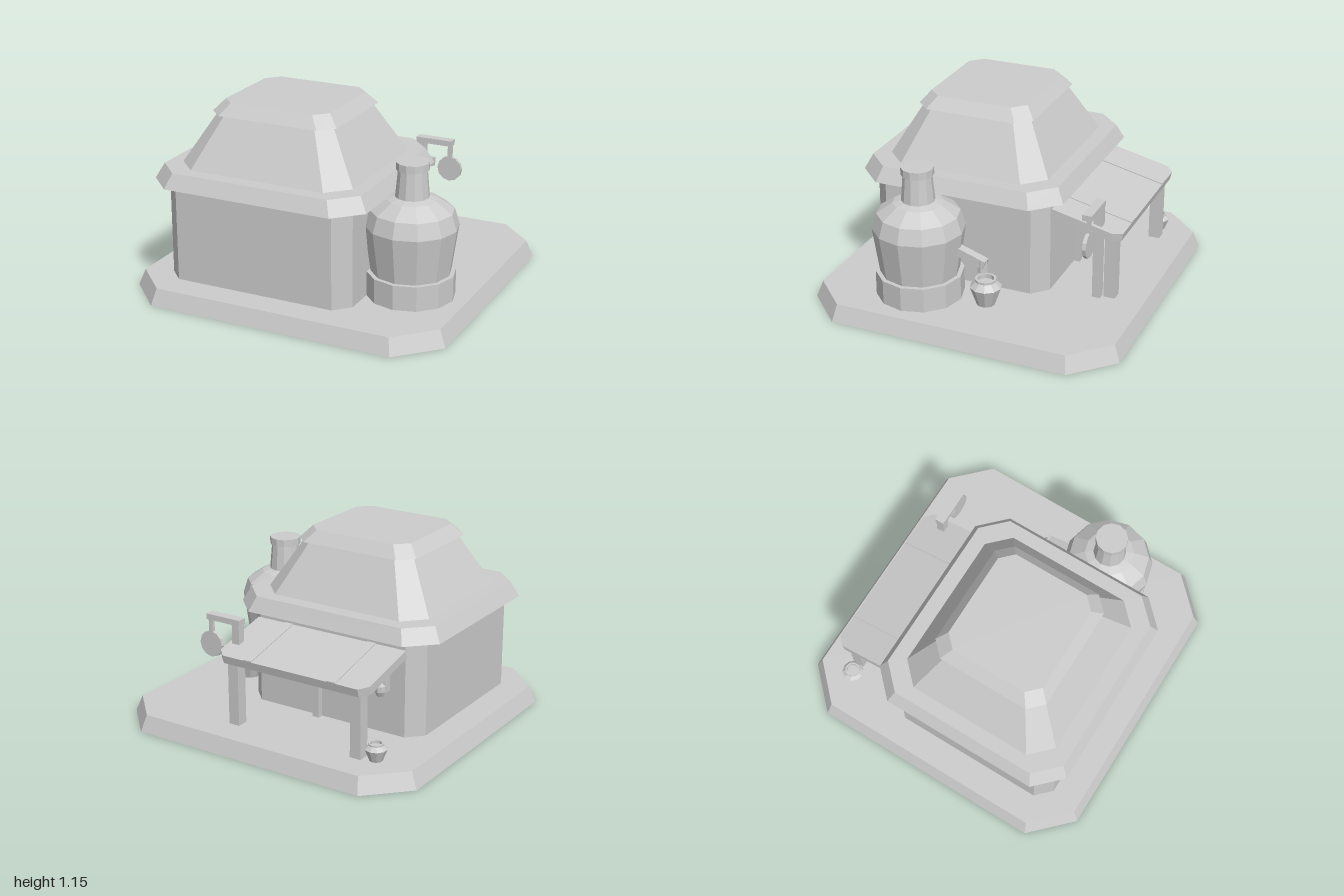
import * as THREE from 'three';

// Double-sided because the ground slab is open underneath
const stone = new THREE.MeshStandardMaterial({ color: 0xcccccc, side: THREE.DoubleSide });
stone.name = 'lightGrey';

// Mesh with faceted normals
function part(name, geometry, x = 0, y = 0, z = 0) {
  const geo = geometry.index ? geometry.toNonIndexed() : geometry;
  geo.computeVertexNormals();
  const mesh = new THREE.Mesh(geo, stone);
  mesh.name = name;
  mesh.position.set(x, y, z);
  return mesh;
}

// Box given by its extents
function box(name, x0, x1, y0, y1, z0, z1) {
  return part(name, new THREE.BoxGeometry(x1 - x0, y1 - y0, z1 - z0),
    (x0 + x1) / 2, (y0 + y1) / 2, (z0 + z1) / 2);
}

// Rectangle with cut corners, counterclockwise from above
function ring(y, hx, hz, cut) {
  const a = hz - cut, b = hx - cut;
  return [[hx, a], [hx, -a], [b, -hz], [-b, -hz], [-hx, -a], [-hx, a], [-b, hz], [b, hz]]
    .map(([x, z]) => [x, y, z]);
}

// Solid between a lower and an upper ring, with an optional floor
function frustum(name, low, high, x = 0, z = 0, floor = true) {
  const p = [];
  for (let i = 0; i < 8; i++) {
    const j = (i + 1) % 8;
    p.push(low[i], low[j], high[j], low[i], high[j], high[i]);
    if (i > 0 && i < 7) {
      p.push(high[0], high[i], high[j]);
      if (floor) p.push(low[0], low[j], low[i]);
    }
  }
  const geo = new THREE.BufferGeometry();
  geo.setAttribute('position', new THREE.Float32BufferAttribute(p.flat(), 3));
  return part(name, geo, x, 0, z);
}

function lathe(name, profile, sides, x, y, z) {
  const points = profile.map(([r, h]) => new THREE.Vector2(r, h));
  return part(name, new THREE.LatheGeometry(points, sides), x, y, z);
}

export function createModel() {
  const model = new THREE.Group();
  model.name = 'distillery';

  // Ground slab, hollow below
  model.add(frustum('groundSlab', ring(0, 1, 0.967, 0.235), ring(0.1, 0.96, 0.93, 0.215), 0, 0, false));

  // House and stepped roof
  const house = new THREE.Group();
  house.name = 'house';
  const cx = -0.194, cz = 0.194;
  house.add(
    frustum('walls', ring(0.1, 0.595, 0.56, 0.09), ring(0.69, 0.595, 0.56, 0.09), cx, 0.196),
    frustum('eaves', ring(0.69, 0.685, 0.644, 0.155), ring(0.78, 0.637, 0.6, 0.14), cx, cz),
    frustum('roof', ring(0.78, 0.554, 0.51, 0.125), ring(1.09, 0.37, 0.34, 0.08), cx, cz),
    frustum('roofCap', ring(1.085, 0.402, 0.368, 0.085), ring(1.155, 0.339, 0.311, 0.075), cx, cz));
  model.add(house);

  // Still with its spout
  const still = new THREE.Group();
  still.name = 'still';
  const sx = 0.619, sz = 0.337;
  still.add(
    lathe('stillBase', [[0, 0.1], [0.262, 0.1], [0.262, 0.25], [0, 0.25]], 12, sx, 0, sz),
    lathe('stillBody', [[0.235, 0.245], [0.275, 0.53], [0.245, 0.625], [0.15, 0.69], [0.09, 0.706]], 12, sx, 0, sz),
    lathe('stillNeck', [[0.1, 0.7], [0.085, 0.865]], 12, sx, 0, sz),
    lathe('stillCap', [[0, 0.865], [0.097, 0.865], [0.097, 0.91], [0, 0.91]], 12, sx, 0, sz));
  const spout = part('spout', new THREE.BoxGeometry(0.055, 0.05, 0.24), 0.611, 0.4, 0.03);
  spout.rotation.x = -0.32;
  still.add(spout, part('spoutTip', new THREE.CylinderGeometry(0.03, 0.03, 0.08, 8), 0.611, 0.35, -0.063));
  model.add(still);

  // Collecting pot and a small pot by the awning
  const pot = [[0, 0], [0.055, 0], [0.095, 0.115], [0.06, 0.15], [0.065, 0.153], [0.065, 0.167],
    [0.05, 0.167], [0.05, 0.14], [0, 0.14]];
  const smallPot = pot.map(([r, h]) => [r * 0.7, h * 0.62]);
  model.add(lathe('collectingPot', pot, 10, 0.605, 0.1, -0.08));
  model.add(lathe('smallPot', smallPot, 10, -0.72, 0.1, -0.705));

  // Sloping awning with two battens and two legs
  const awning = new THREE.Group();
  awning.name = 'awning';
  awning.position.set(cx, 0.588, -0.36);
  awning.rotation.x = -0.228;
  const outline = new THREE.Shape();
  outline.moveTo(-0.51, 0);
  outline.lineTo(0.51, 0);
  outline.lineTo(0.51, 0.387);
  outline.lineTo(0.46, 0.436);
  outline.lineTo(-0.46, 0.436);
  outline.lineTo(-0.51, 0.387);
  const sheet = new THREE.ExtrudeGeometry(outline, { depth: 0.052, bevelEnabled: false });
  awning.add(part('awningSheet', sheet.rotateX(-Math.PI / 2)));
  for (const s of [-1, 1]) {
    awning.add(box('batten', s * 0.286 - 0.0275, s * 0.286 + 0.0275, 0.045, 0.057, -0.435, 0));
    const lx = cx + s * 0.42;
    model.add(box('awningLeg', lx - 0.035, lx + 0.035, 0.1, 0.53, -0.755, -0.684));
  }
  model.add(awning);

  // Hanging sign
  const sign = new THREE.Group();
  sign.name = 'sign';
  const disc = part('signDisc', new THREE.CylinderGeometry(0.08, 0.08, 0.022, 12), 0.452, 0.53, -0.653);
  disc.rotation.x = Math.PI / 2;
  sign.add(
    box('signPost', 0.24, 0.29, 0.1, 0.7, -0.672, -0.622),
    box('signArm', 0.235, 0.472, 0.685, 0.72, -0.675, -0.617),
    box('signHanger', 0.439, 0.465, 0.6, 0.69, -0.664, -0.642), disc);
  model.add(sign);

  // Back doorway
  for (const x of [-0.375, -0.11]) model.add(box('doorJamb', x - 0.022, x + 0.022, 0.1, 0.5, -0.402, -0.36));
  model.add(box('doorLintel', -0.397, -0.088, 0.46, 0.5, -0.402, -0.36));

  // Wall lantern
  model.add(box('lanternBracket', -0.6, -0.54, 0.37, 0.5, -0.425, -0.36));
  model.add(lathe('lantern', [[0, 0], [0.02, 0], [0.034, 0.03], [0.034, 0.065], [0.02, 0.085], [0, 0.085]],
    8, -0.57, 0.35, -0.42));
  return model;
}
